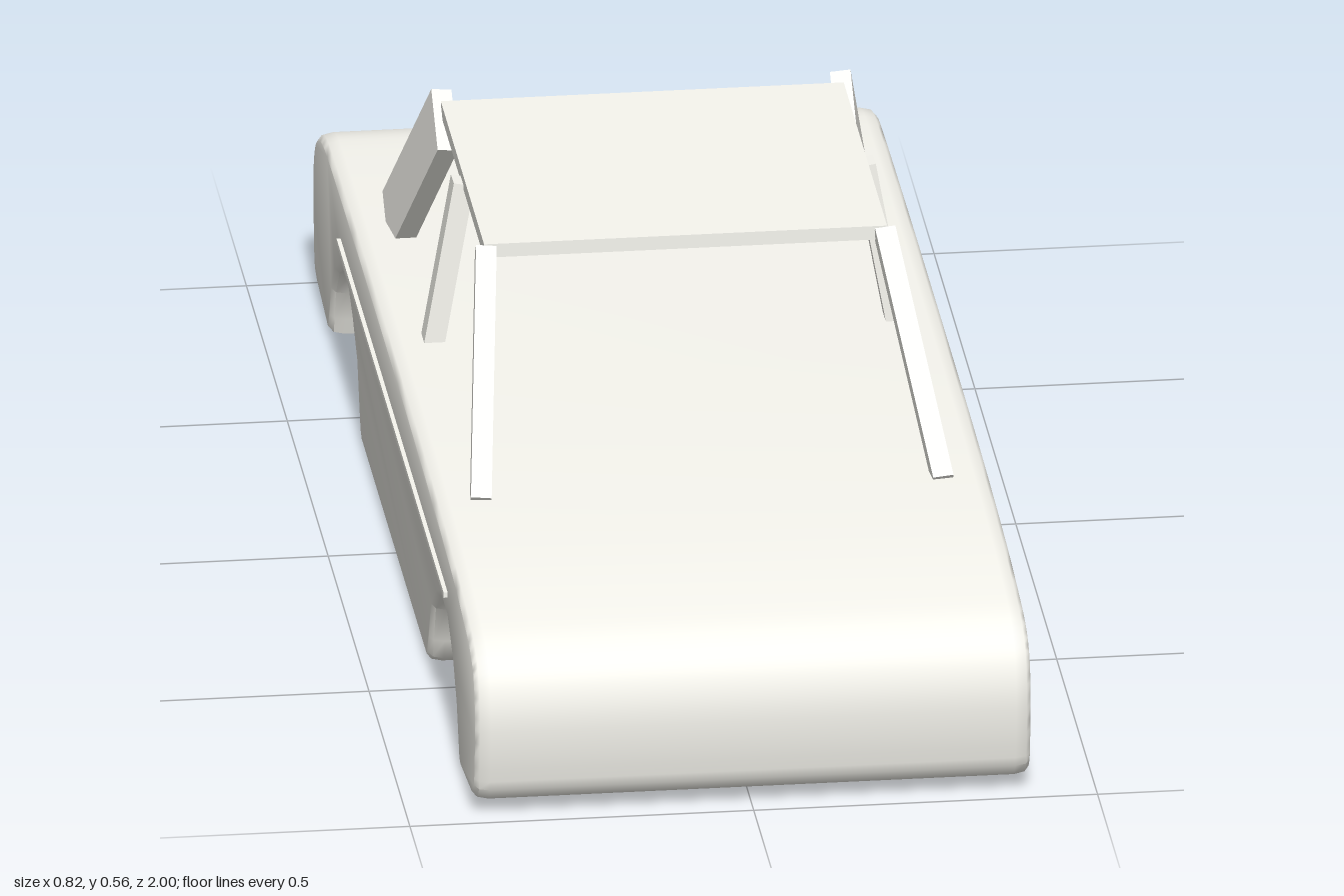
import * as THREE from 'three';
import { toCreasedNormals } from 'three/addons/utils/BufferGeometryUtils.js';

const material = new THREE.MeshStandardMaterial({ color: 0xf8f7f0 });

// Side outline of the body as [z, y]: faceted sill and arches, smooth deck
const sill = [
  [0.97, 0.025], [0.95, 0.018], [0.81, 0.002], [0.79, 0.008],
  [0.778, 0.035], [0.756, 0.083], [0.715, 0.13], [0.65, 0.17], [0.565, 0.17],
  [0.515, 0.147], [0.46, 0.105], [0.435, 0.045], [0.42, 0.012], [0.4, 0],
  [-0.4, 0], [-0.42, 0.012], [-0.435, 0.045], [-0.46, 0.105], [-0.515, 0.147],
  [-0.56, 0.17], [-0.65, 0.17], [-0.72, 0.13], [-0.762, 0.083],
  [-0.78, 0.035], [-0.79, 0.008], [-0.81, 0.002], [-0.95, 0.018], [-0.975, 0.027],
];
const deck = [
  [-0.987, 0.045], [-0.995, 0.1], [-1, 0.16], [-0.995, 0.195], [-0.978, 0.23], [-0.945, 0.258],
  [-0.89, 0.278], [-0.82, 0.285], [-0.6, 0.29], [-0.3, 0.293], [0.2, 0.293], [0.48, 0.288],
  [0.7, 0.279], [0.86, 0.264], [0.93, 0.252], [0.97, 0.232], [0.99, 0.205],
  [1, 0.16], [0.997, 0.1], [0.987, 0.045],
];
const toPoints = (list) => list.map(([z, y]) => new THREE.Vector2(z, y));

function makeBody() {
  const deckCurve = new THREE.SplineCurve(toPoints(deck));
  const outline = [...toPoints(sill), ...deckCurve.getPoints(57)];
  const halfWidth = 0.404, bevel = 0.022, inset = 0.011;
  const geometry = new THREE.ExtrudeGeometry(new THREE.Shape(outline), {
    depth: 2 * (halfWidth - bevel), bevelThickness: bevel,
    bevelSize: inset, bevelOffset: -inset, bevelSegments: 2,
  });
  geometry.translate(0, 0, -(halfWidth - bevel));
  geometry.rotateY(-Math.PI / 2);
  return new THREE.Mesh(toCreasedNormals(geometry, 0.7), material);
}

function box(w, h, d, x, y, z) {
  const mesh = new THREE.Mesh(new THREE.BoxGeometry(w, h, d), material);
  mesh.position.set(x, y, z);
  return mesh;
}

// Straight bar between two points, its width kept close to the x axis
function beam(from, to, width, depth) {
  const a = new THREE.Vector3(...from), b = new THREE.Vector3(...to);
  const along = b.clone().sub(a);
  const length = along.length();
  along.normalize();
  const across = new THREE.Vector3(1, 0, 0).addScaledVector(along, -along.x).normalize();
  const out = across.clone().cross(along);
  const mesh = new THREE.Mesh(new THREE.BoxGeometry(width, length, depth), material);
  mesh.quaternion.setFromRotationMatrix(new THREE.Matrix4().makeBasis(across, along, out));
  mesh.position.copy(a).add(b).multiplyScalar(0.5);
  return mesh;
}

export function createModel() {
  const car = new THREE.Group();
  car.name = 'carBody';
  const add = (mesh, name) => {
    mesh.name = name;
    car.add(mesh);
  };

  add(makeBody(), 'body');
  add(box(0.586, 0.021, 0.53, 0, 0.539, -0.099), 'roof');

  // Pillars and side trim, mirrored left and right
  for (const [s, side] of [[1, 'left'], [-1, 'right']]) {
    add(beam([s * 0.336, 0.284, 0.487], [s * 0.29, 0.54, 0.162], 0.03, 0.023), side + 'FrontPillar');
    add(beam([s * 0.338, 0.28, -0.097], [s * 0.292, 0.535, -0.106], 0.03, 0.037), side + 'MiddlePillar');
    add(beam([s * 0.338, 0.289, -0.536], [s * 0.29, 0.529, -0.343], 0.03, 0.1), side + 'RearPillar');
    add(box(0.012, 0.008, 1.31, s * 0.404, 0.212, 0), side + 'TrimStrip');
  }
  return car;
}
